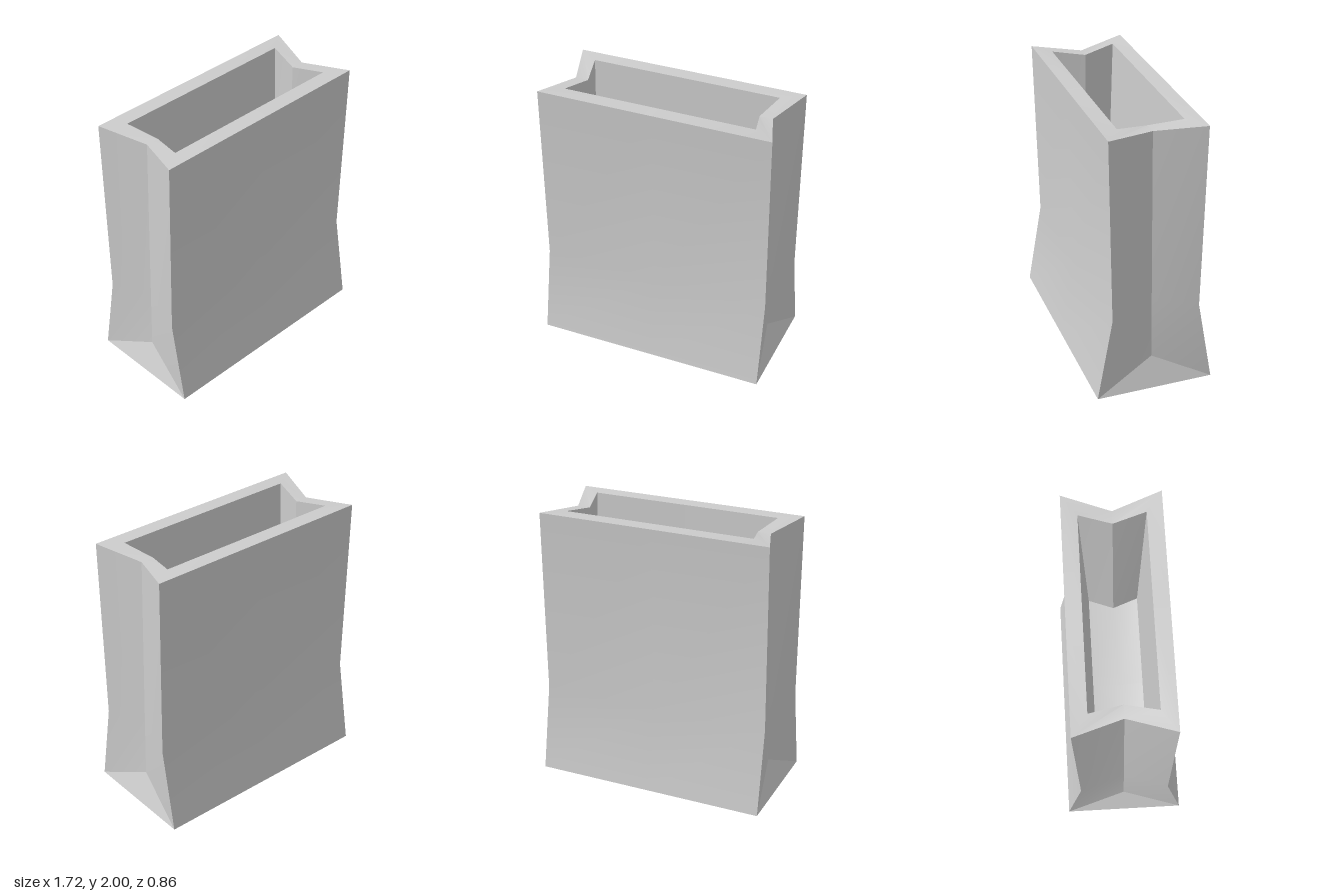
import * as THREE from 'three';
import { toCreasedNormals } from 'three/addons/utils/BufferGeometryUtils.js';

// Builds a surface from faces of one quarter (+x, +z), mirrored to all four
function mirroredGeometry(faces) {
  const positions = [];
  for (const sx of [1, -1]) {
    for (const sz of [1, -1]) {
      for (const face of faces) {
        const pts = face.map(([x, y, z]) => [x * sx, y, z * sz]);
        if (sx * sz < 0) pts.reverse();
        for (let i = 1; i < pts.length - 1; i++) {
          positions.push(...pts[0], ...pts[i], ...pts[i + 1]);
        }
      }
    }
  }
  const geometry = new THREE.BufferGeometry();
  geometry.setAttribute('position', new THREE.Float32BufferAttribute(positions, 3));
  return toCreasedNormals(geometry, 0.35);
}

// The same point moved to the middle plane x = 0
const mid = ([, y, z]) => [0, y, z];

export function createModel() {
  const group = new THREE.Group();
  group.name = 'paperBag';
  const paper = new THREE.MeshStandardMaterial({ color: 0xcccccc });
  paper.name = 'grey paper';

  // Outer corner edge, bottom to top
  const base = [0.86, 0, 0.43];
  const waist = [0.86, 0.63, 0.32];
  const top = [0.86, 2, 0.348];
  // Side fold line, bottom to top
  const foldLow = [0.78, 0.22, 0];
  const foldMid = [0.77, 0.68, 0];
  const foldTop = [0.74, 1.965, 0];
  // Opening edge and inner floor
  const lip = [0.705, 2, 0.235];
  const lipFold = [0.645, 1.965, 0];
  const floor = [0.705, 0.5, 0.19];
  const floorFold = [0.645, 0.47, 0];

  const parts = {
    frontAndBackPanels: [
      [mid(base), base, waist, mid(waist)],
      [mid(waist), waist, top, mid(top)],
    ],
    sideGussets: [
      [base, foldLow, foldMid, waist],
      [waist, foldMid, foldTop, top],
      [base, [0.86, 0, 0], foldLow],
    ],
    bottom: [[[0, 0, 0], [0.86, 0, 0], base, mid(base)]],
    rim: [
      [mid(top), top, lip, mid(lip)],
      [top, foldTop, lipFold, lip],
    ],
    innerWalls: [
      [mid(lip), lip, floor, mid(floor)],
      [lip, lipFold, floorFold, floor],
    ],
    innerFloor: [[mid(floorFold), mid(floor), floor, floorFold]],
  };

  for (const [name, faces] of Object.entries(parts)) {
    const mesh = new THREE.Mesh(mirroredGeometry(faces), paper);
    mesh.name = name;
    group.add(mesh);
  }
  return group;
}
